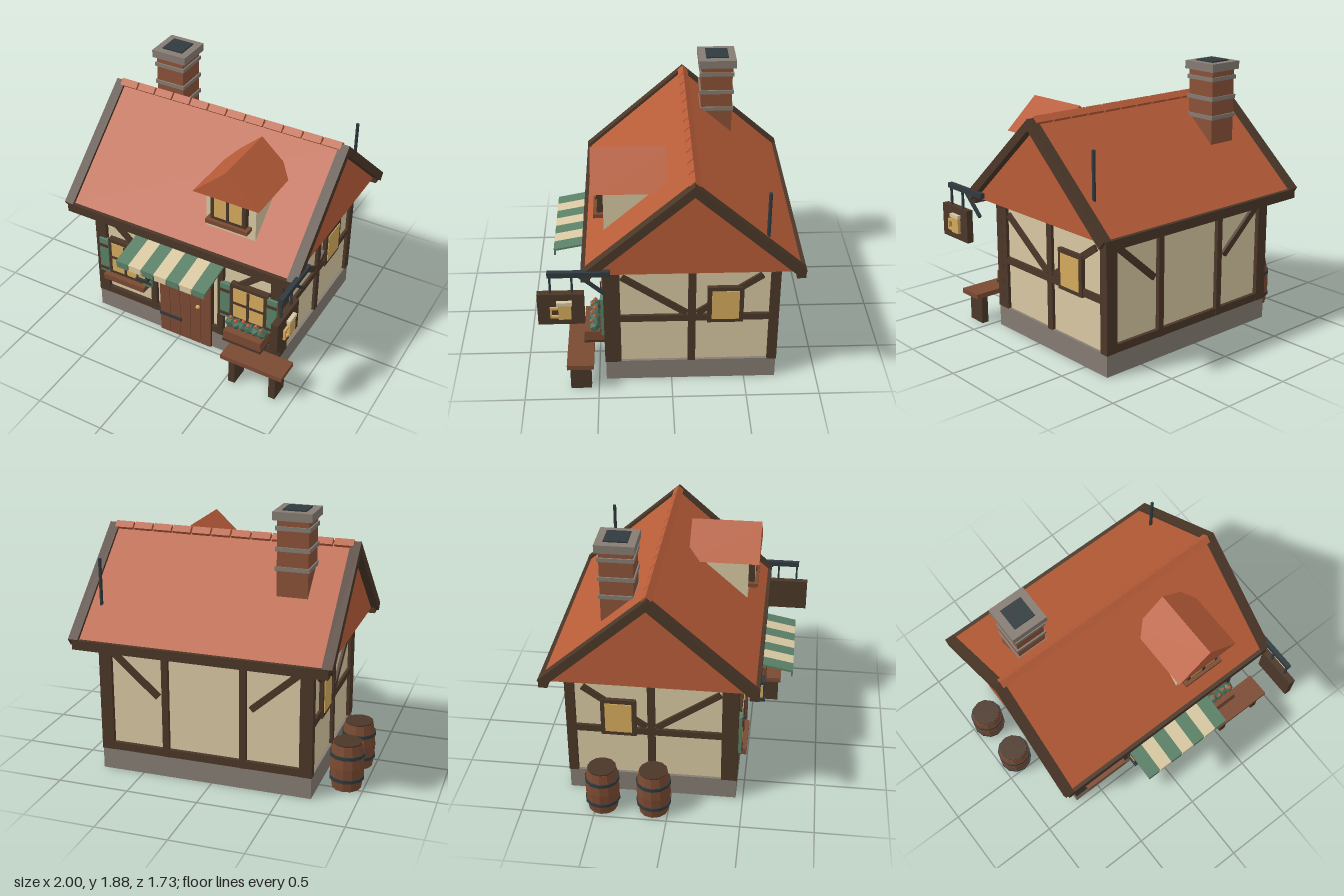
import * as THREE from 'three';

const mat = (name, color, extra = {}) => {
  const m = new THREE.MeshStandardMaterial({ color, ...extra });
  m.name = name;
  return m;
};

export function createModel() {
  const M = {
    roof: mat('roof tile', 0xb85c38),
    plaster: mat('plaster', 0xd8c8a2),
    dark: mat('dark timber', 0x4b3728),
    wood: mat('brown wood', 0x7a4a32),
    brick: mat('chimney brick', 0x8a5138),
    stone: mat('stone', 0x857c72),
    iron: mat('iron', 0x303a3e),
    glass: mat('lit glass', 0xd4aa5c),
    green: mat('painted green', 0x5a8067),
    leaf: mat('leaf green', 0x446b58),
  };
  for (const k of ['wood', 'leaf']) M[k].flatShading = true;
  const model = new THREE.Group();
  model.name = 'tavern';
  const CX = 0.05, CZ = -0.135;

  const add = (name, geo, m, x = 0, y = 0, z = 0, parent = model) => {
    const o = new THREE.Mesh(geo, m);
    o.name = name;
    o.position.set(x, y, z);
    parent.add(o);
    return o;
  };
  // box from its min and max on each axis
  const box = (name, m, x0, x1, y0, y1, z0, z1, parent) =>
    add(name, new THREE.BoxGeometry(x1 - x0, y1 - y0, z1 - z0), m,
      (x0 + x1) / 2, (y0 + y1) / 2, (z0 + z1) / 2, parent);
  // straight bar between two points
  const beam = (name, m, a, b, w, d) => {
    const p = new THREE.Vector3(...a), q = new THREE.Vector3(...b);
    const dir = q.clone().sub(p);
    const o = add(name, new THREE.BoxGeometry(w, dir.length(), d), m);
    o.position.copy(p).add(q).multiplyScalar(0.5);
    o.quaternion.setFromUnitVectors(new THREE.Vector3(0, 1, 0), dir.normalize());
    return o;
  };
  const prism = (points, depth) => new THREE.ExtrudeGeometry(
    new THREE.Shape(points.map(p => new THREE.Vector2(...p))), { depth, bevelEnabled: false });

  // foundation and walls
  box('foundation', M.stone, -0.7, 0.8, 0, 0.155, -0.715, 0.45);
  box('walls', M.plaster, -0.68, 0.78, 0.15, 0.95, -0.69, 0.425);

  // timber frame, front and back
  for (const s of [1, -1]) {
    const z = s > 0 ? 0.425 : -0.69;
    const zr = [z - 0.03, z + 0.03];
    for (const [x0, x1] of [[-0.703, -0.615], [-0.245, -0.2], [0.305, 0.35], [0.715, 0.803]])
      box('wallPost', M.dark, x0, x1, 0.15, 0.94, ...zr);
    for (const [x0, x1] of s > 0 ? [[-0.7, -0.16], [0.26, 0.8]] : [[-0.7, 0.8]])
      box('bottomRail', M.dark, x0, x1, 0.15, 0.205, z - 0.027, z + 0.027);
    box('topRail', M.dark, -0.7, 0.8, 0.88, 0.945, z - 0.027, z + 0.027);
    for (const k of [1, -1])
      beam('wallBrace', M.dark, [CX + k * 0.66, 0.87, z], [CX + k * 0.33, 0.58, z], 0.045, 0.045);
  }

  // timber frame and window on both gable sides
  for (const s of [1, -1]) {
    const x = CX + s * 0.73;
    for (const z of [0.37, -0.135, -0.68])
      box('sidePost', M.dark, x - 0.022, x + 0.022, 0.15, 0.94, z - 0.026, z + 0.026);
    box('sideRail', M.dark, x - 0.02, x + 0.02, 0.49, 0.54, -0.67, 0.38);
    beam('sideBrace', M.dark, [x, 0.85, 0.33], [x, 0.55, -0.1], 0.036, 0.045);
    beam('sideBrace', M.dark, [x, 0.85, -0.6], [x, 0.55, -0.17], 0.036, 0.045);
    box('sideWindowFrame', M.dark, x - 0.028, x + 0.028, 0.48, 0.765, -0.48, -0.237);
    box('sideWindowGlass', M.glass, x - 0.034, x + 0.034, 0.51, 0.735, -0.45, -0.267);
  }

  // main roof: solid prism, barge boards, eave boards, ridge tiles
  const slab = add('mainRoof', prism([[-0.7, 0.95], [0.7, 0.95], [0.7, 0.98], [0, 1.6], [-0.7, 0.98]], 1.7),
    M.roof, -0.8, 0, CZ);
  slab.rotation.y = Math.PI / 2;
  for (const x of [-0.855, 0.885]) {
    const chevron = add('bargeBoard', prism([[-0.725, 0.985], [-0.69, 0.935], [0, 1.548],
      [0.69, 0.935], [0.725, 0.985], [0, 1.624]], 0.07), M.dark, x, 0, CZ);
    chevron.rotation.y = Math.PI / 2;
  }
  for (const s of [1, -1])
    box('eaveBoard', M.dark, -0.83, 0.928, 0.915, 0.982, CZ + s * 0.695 - 0.03, CZ + s * 0.695 + 0.03);
  for (let i = 0; i < 12; i++) {
    const t = add('ridgeTile', new THREE.BoxGeometry(0.132, 0.052, 0.052), M.roof,
      -0.743 + i * 0.1437, 1.6, CZ - 0.003);
    t.rotation.x = Math.PI / 4;
  }

  // chimney
  box('chimneyStack', M.brick, -0.587, -0.375, 1.15, 1.82, -0.472, -0.25);
  for (const y of [1.49, 1.62, 1.757])
    box('chimneyBand', M.stone, -0.597, -0.365, y - 0.014, y + 0.014, -0.482, -0.24);
  box('chimneyCap', M.stone, -0.613, -0.349, 1.812, 1.868, -0.496, -0.232);
  box('chimneyFlue', M.iron, -0.56, -0.402, 1.86, 1.877, -0.443, -0.285);
  add('roofPole', new THREE.CylinderGeometry(0.012, 0.012, 0.4, 8), M.iron, 0.815, 1.29, -0.617);

  // window with frame, panes and optional cross bars, facing +z
  const windowFront = (name, cx, y0, y1, halfW, z, cross) => {
    const g = new THREE.Group();
    g.name = name;
    model.add(g);
    const b = 0.027;
    box('frame', M.dark, cx - halfW, cx + halfW, y0, y1, z - 0.02, z + 0.03, g);
    box('glass', M.glass, cx - halfW + b, cx + halfW - b, y0 + b, y1 - b, z + 0.026, z + 0.034, g);
    box('upright', M.dark, cx - 0.009, cx + 0.009, y0 + b, y1 - b, z + 0.03, z + 0.042, g);
    if (cross)
      box('crossBar', M.dark, cx - halfW + b, cx + halfW - b, (y0 + y1) / 2 - 0.009, (y0 + y1) / 2 + 0.009, z + 0.03, z + 0.04, g);
  };

  // dormer
  box('dormerWalls', M.plaster, 0.212, 0.582, 1.0, 1.4, -0.02, 0.442);
  add('dormerRoof', prism([[-0.243, 1.39], [0.243, 1.39], [0, 1.61]], 0.5), M.roof, 0.396, 0, 0.02);
  windowFront('dormerWindow', 0.398, 1.19, 1.4, 0.13, 0.455, false);
  box('dormerSill', M.wood, 0.24, 0.553, 1.162, 1.192, 0.43, 0.51);

  // ground-floor windows with shutters
  for (const cx of [-0.447, 0.556]) {
    windowFront('frontWindow', cx, 0.368, 0.675, 0.143, 0.44, true);
    for (const s of [1, -1]) {
      const x = cx + s * 0.181;
      box('shutter', M.green, x - 0.037, x + 0.037, 0.365, 0.658, 0.44, 0.476);
      for (const y of [0.4, 0.605])
        box('shutterBatten', M.dark, x - 0.036, x + 0.036, y - 0.011, y + 0.011, 0.47, 0.483);
    }
  }
  box('windowSill', M.wood, -0.62, -0.275, 0.322, 0.366, 0.42, 0.51);

  // flower box
  box('flowerBox', M.wood, 0.43, 0.718, 0.275, 0.352, 0.45, 0.592);
  box('flowerBoxBase', M.dark, 0.425, 0.723, 0.262, 0.28, 0.45, 0.597);
  for (let i = 0; i < 6; i++) {
    const x = 0.45 + i * 0.049;
    add('plant', new THREE.IcosahedronGeometry(0.042, 0), M.leaf, x, 0.385, 0.522).rotation.y = i;
    add('blossom', new THREE.IcosahedronGeometry(0.016, 0), M.roof, x, 0.425, 0.522 + (i % 2) * 0.02);
  }

  // door
  for (let i = 0; i < 5; i++) {
    const x = -0.16 + i * 0.084;
    box('doorPlank', M.wood, x + 0.002, x + 0.082, 0.008, 0.712, 0.42, 0.472);
  }
  box('doorGaps', M.dark, -0.16, 0.26, 0.005, 0.712, 0.42, 0.464);
  box('doorLintel', M.dark, -0.2, 0.305, 0.71, 0.775, 0.42, 0.492);
  for (const y of [0.168, 0.517])
    box('doorHinge', M.iron, -0.16, 0.02, y - 0.013, y + 0.013, 0.465, 0.48);
  add('doorKnob', new THREE.SphereGeometry(0.016, 10, 8), M.glass, 0.165, 0.365, 0.487);

  // striped awning with valance
  for (let i = 0; i < 7; i++) {
    const x = -0.246 + i * 0.0995, m = i % 2 ? M.plaster : M.green;
    beam('awningStripe', m, [x, 0.882, 0.44], [x, 0.812, 0.795], 0.0995, 0.014);
    box('awningValance', m, x - 0.044, x + 0.044, 0.77, 0.815, 0.784, 0.796);
  }

  // wall lantern
  beam('lanternArm', M.iron, [-0.222, 0.735, 0.45], [-0.222, 0.69, 0.575], 0.022, 0.022);
  box('lanternGlass', M.glass, -0.257, -0.187, 0.55, 0.67, 0.53, 0.6);
  for (const y of [0.54, 0.68])
    box('lanternCap', M.iron, -0.269, -0.175, y - 0.012, y + 0.012, 0.518, 0.612);
  for (const sx of [-1, 1]) for (const sz of [-1, 1])
    box('lanternRib', M.iron, -0.222 + sx * 0.036 - 0.005, -0.222 + sx * 0.036 + 0.005, 0.54, 0.68,
      0.565 + sz * 0.036 - 0.005, 0.565 + sz * 0.036 + 0.005);

  // hanging sign with a mug in relief
  box('signBar', M.iron, 0.935, 0.968, 0.98, 1.017, 0.4, 0.8);
  beam('signStrut', M.iron, [0.95, 0.985, 0.6], [0.95, 0.84, 0.44], 0.02, 0.02);
  for (const z of [0.785, 0.645])
    box('signRod', M.iron, 0.944, 0.958, 0.84, 0.985, z - 0.007, z + 0.007);
  box('signBoard', M.dark, 0.926, 0.974, 0.62, 0.855, 0.57, 0.872);
  box('signMug', M.glass, 0.97, 0.996, 0.672, 0.785, 0.655, 0.737);
  box('signMugFoam', M.plaster, 0.97, 1.0, 0.782, 0.807, 0.648, 0.748);
  box('signMugHandle', M.glass, 0.97, 0.99, 0.68, 0.76, 0.779, 0.791);
  for (const y of [0.687, 0.753])
    box('signMugHandle', M.glass, 0.97, 0.99, y - 0.008, y + 0.008, 0.737, 0.785);

  // bench
  box('benchSeat', M.wood, 0.472, 0.942, 0.203, 0.238, 0.528, 0.71);
  for (const x of [0.553, 0.865])
    box('benchLeg', M.dark, x - 0.025, x + 0.025, 0, 0.205, 0.55, 0.692);

  // barrels: staved body, dark lid, iron hoops
  const profile = [[0, 0], [0.1, 0], [0.113, 0.08], [0.119, 0.165], [0.113, 0.25], [0.1, 0.325], [0, 0.325]]
    .map(p => new THREE.Vector2(...p));
  for (const z of [-0.453, -0.1]) {
    const g = new THREE.Group();
    g.name = 'barrel';
    g.position.set(-0.878, 0, z);
    model.add(g);
    add('staves', new THREE.LatheGeometry(profile, 12), M.wood, 0, 0, 0, g);
    add('lid', new THREE.CylinderGeometry(0.098, 0.098, 0.02, 12), M.dark, 0, 0.325, 0, g);
    for (const y of [0.08, 0.248])
      add('hoop', new THREE.CylinderGeometry(0.12, 0.12, 0.024, 12), M.iron, 0, y, 0, g);
  }
  return model;
}
